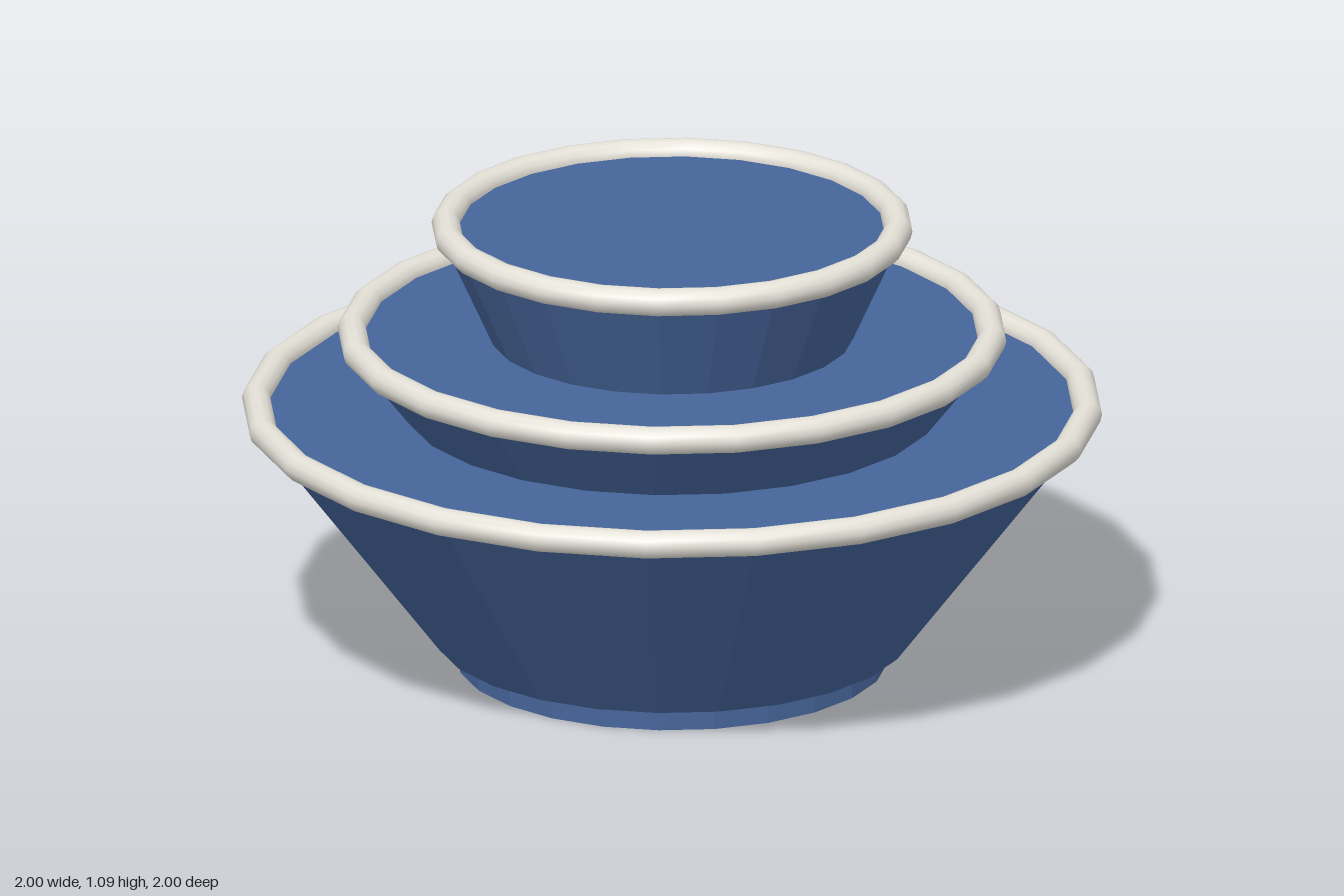
import * as THREE from 'three';

const SIDES = 24;
const TUBE = 0.033;

export function createModel() {
  const model = new THREE.Group();
  const glaze = new THREE.MeshStandardMaterial({ color: 0x46659a, flatShading: true });
  const rimWhite = new THREE.MeshStandardMaterial({ color: 0xe4e1d8 });

  function add(name, geometry, material, y) {
    const mesh = new THREE.Mesh(geometry, material);
    mesh.name = name;
    mesh.position.y = y;
    model.add(mesh);
  }

  // Three stacked bowls, each a tapered body closed at rim height with a rounded rim
  const bowls = [
    { name: 'large', bottomY: 0.06, bottomR: 0.55, topY: 0.62, topR: 0.975, rimR: 0.965 },
    { name: 'medium', bottomY: 0.58, bottomR: 0.59, topY: 0.797, topR: 0.76, rimR: 0.743 },
    { name: 'small', bottomY: 0.75, bottomR: 0.40, topY: 1.06, topR: 0.54, rimR: 0.525 },
  ];
  for (const b of bowls) {
    const height = b.topY - b.bottomY;
    add(b.name + 'Bowl', new THREE.CylinderGeometry(b.topR, b.bottomR, height, SIDES),
      glaze, b.bottomY + height / 2);
    add(b.name + 'Rim', new THREE.TorusGeometry(b.rimR, TUBE, 12, SIDES).rotateX(-Math.PI / 2),
      rimWhite, b.topY);
  }

  // Foot ring under the large bowl
  add('foot', new THREE.CylinderGeometry(0.5, 0.5, 0.08, SIDES), glaze, 0.04);

  return model;
}
